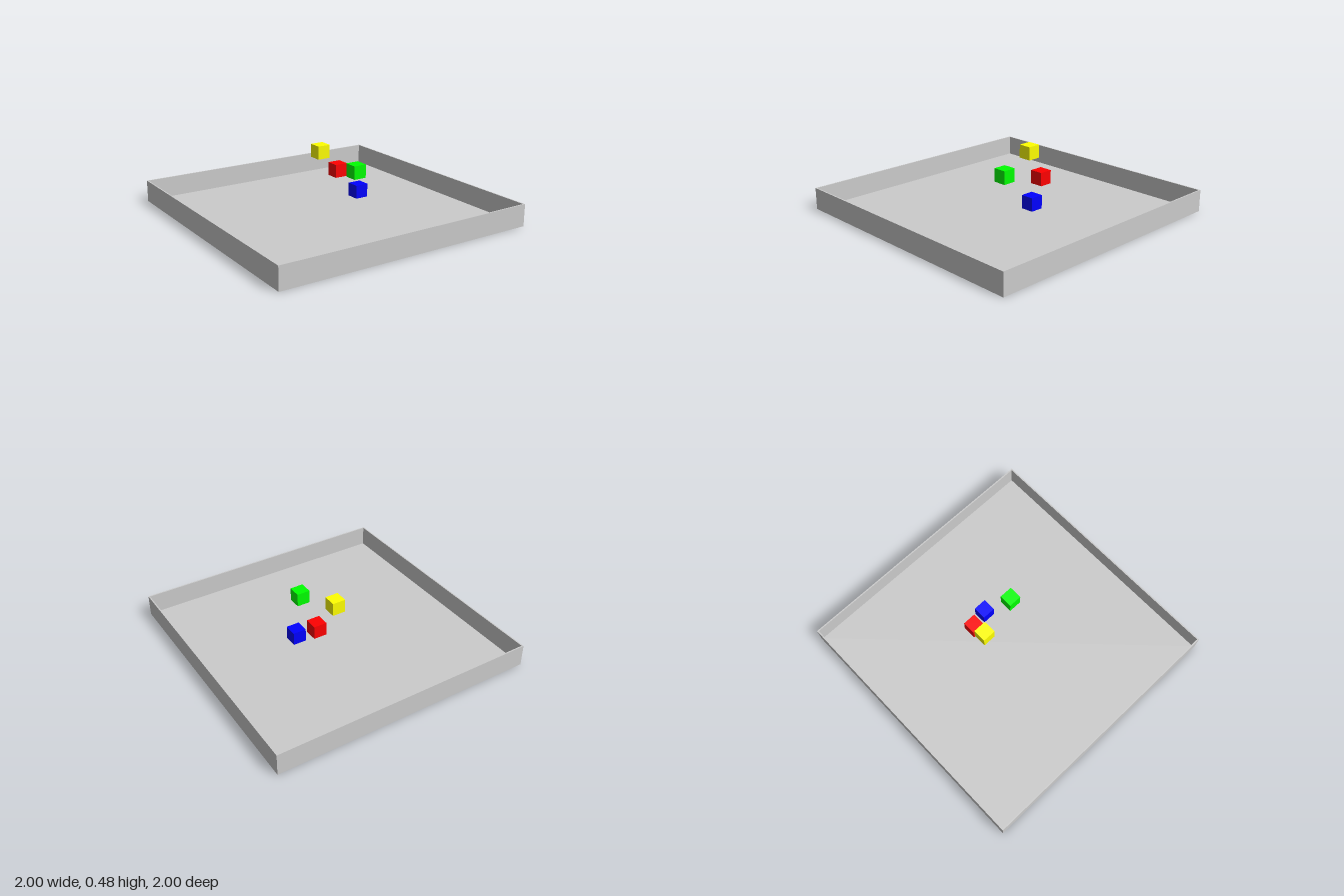
import * as THREE from 'three';

export function createModel() {
  const group = new THREE.Group();
  const grey = new THREE.MeshStandardMaterial({ color: 0xcccccc });

  function addBox(name, size, position, material) {
    const mesh = new THREE.Mesh(new THREE.BoxGeometry(...size), material);
    mesh.name = name;
    mesh.position.set(...position);
    group.add(mesh);
  }

  // Shallow open tray: thin floor and four thin walls
  const height = 0.165, t = 0.01;
  addBox('trayFloor', [2 - 2 * t, t, 2 - 2 * t], [0, t / 2, 0], grey);
  for (const s of [1, -1]) {
    const edge = s * (1 - t / 2);
    addBox(s > 0 ? 'leftWall' : 'rightWall', [t, height, 2], [edge, height / 2, 0], grey);
    addBox(s > 0 ? 'frontWall' : 'backWall', [2 - 2 * t, height, t], [0, height / 2, edge], grey);
  }

  // Coloured cubes floating in a rising spiral above the floor
  const cubes = [
    ['blueCube', 0x0000ff, [0.265, 0.14, 0.013]],
    ['redCube', 0xff0000, [0.193, 0.272, -0.153]],
    ['greenCube', 0x00ff00, [0.14, 0.345, 0.162]],
    ['yellowCube', 0xffff00, [0.052, 0.43, -0.175]],
  ];
  for (const [name, color, position] of cubes) {
    addBox(name, [0.1, 0.1, 0.1], position, new THREE.MeshStandardMaterial({ color }));
  }
  return group;
}
